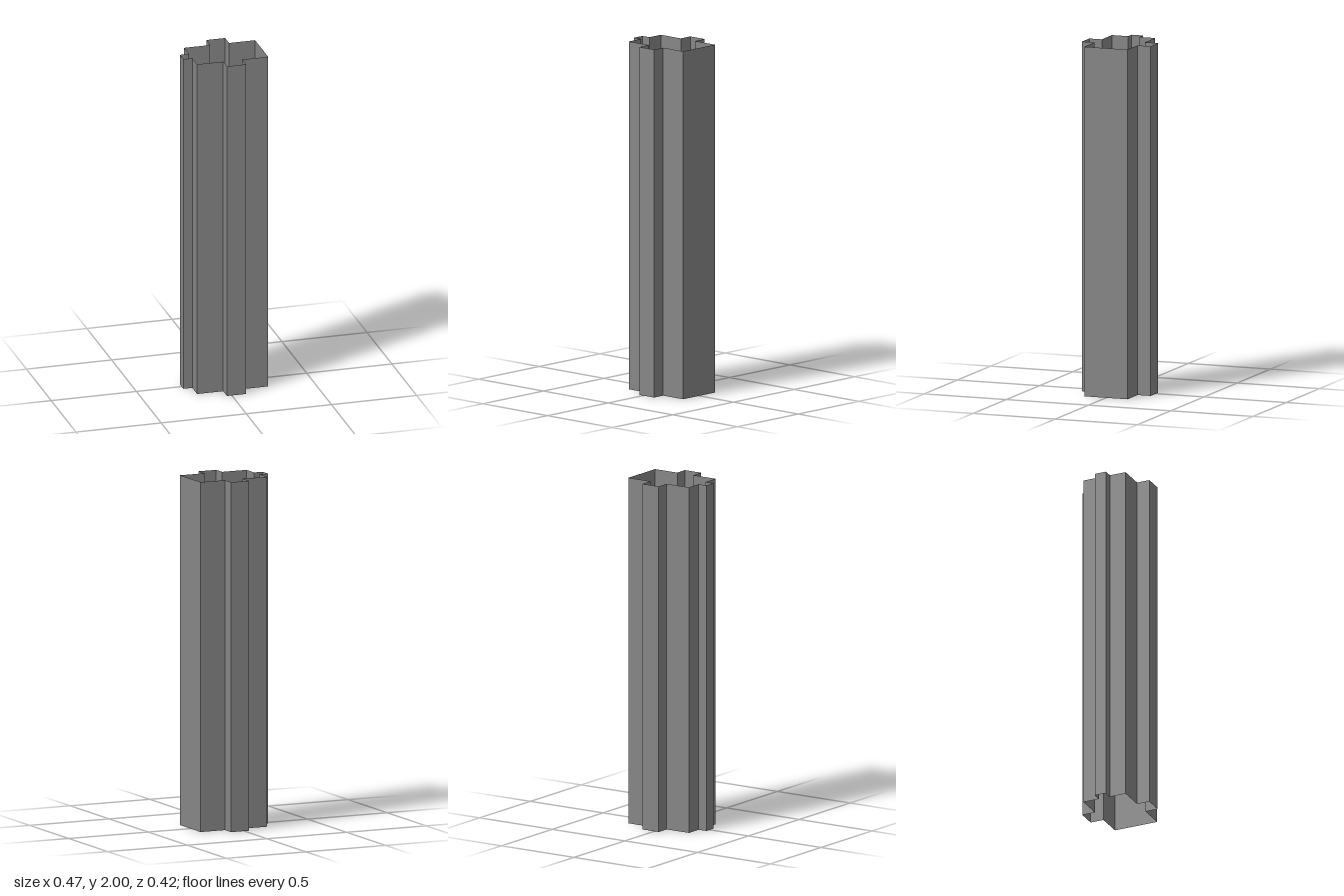
import * as THREE from 'three';

export function createModel() {
  const group = new THREE.Group();
  const material = new THREE.MeshStandardMaterial({
    color: 0x868686, side: THREE.DoubleSide, flatShading: true,
  });
  const height = 2;

  // Floor plan [x, z]: a rectangle with bays at front, back and one side
  const plan = [
    [-0.182, 0.133], [-0.029, 0.133], [-0.029, 0.209], [0.082, 0.209],
    [0.082, 0.133], [0.235, 0.133],
    [0.235, -0.13], [0.082, -0.13], [0.082, -0.209], [-0.029, -0.209],
    [-0.029, -0.13], [-0.182, -0.13],
    [-0.182, -0.034], [-0.235, -0.034], [-0.235, 0.035], [-0.182, 0.035],
  ];

  // One upright quad per plan edge, open at top and bottom
  const positions = [];
  plan.forEach(([x0, z0], i) => {
    const [x1, z1] = plan[(i + 1) % plan.length];
    positions.push(
      x0, 0, z0, x1, 0, z1, x1, height, z1,
      x0, 0, z0, x1, height, z1, x0, height, z0,
    );
  });
  const geometry = new THREE.BufferGeometry();
  geometry.setAttribute('position', new THREE.Float32BufferAttribute(positions, 3));
  geometry.computeVertexNormals();

  const walls = new THREE.Mesh(geometry, material);
  walls.name = 'towerWalls';
  group.add(walls);
  return group;
}
